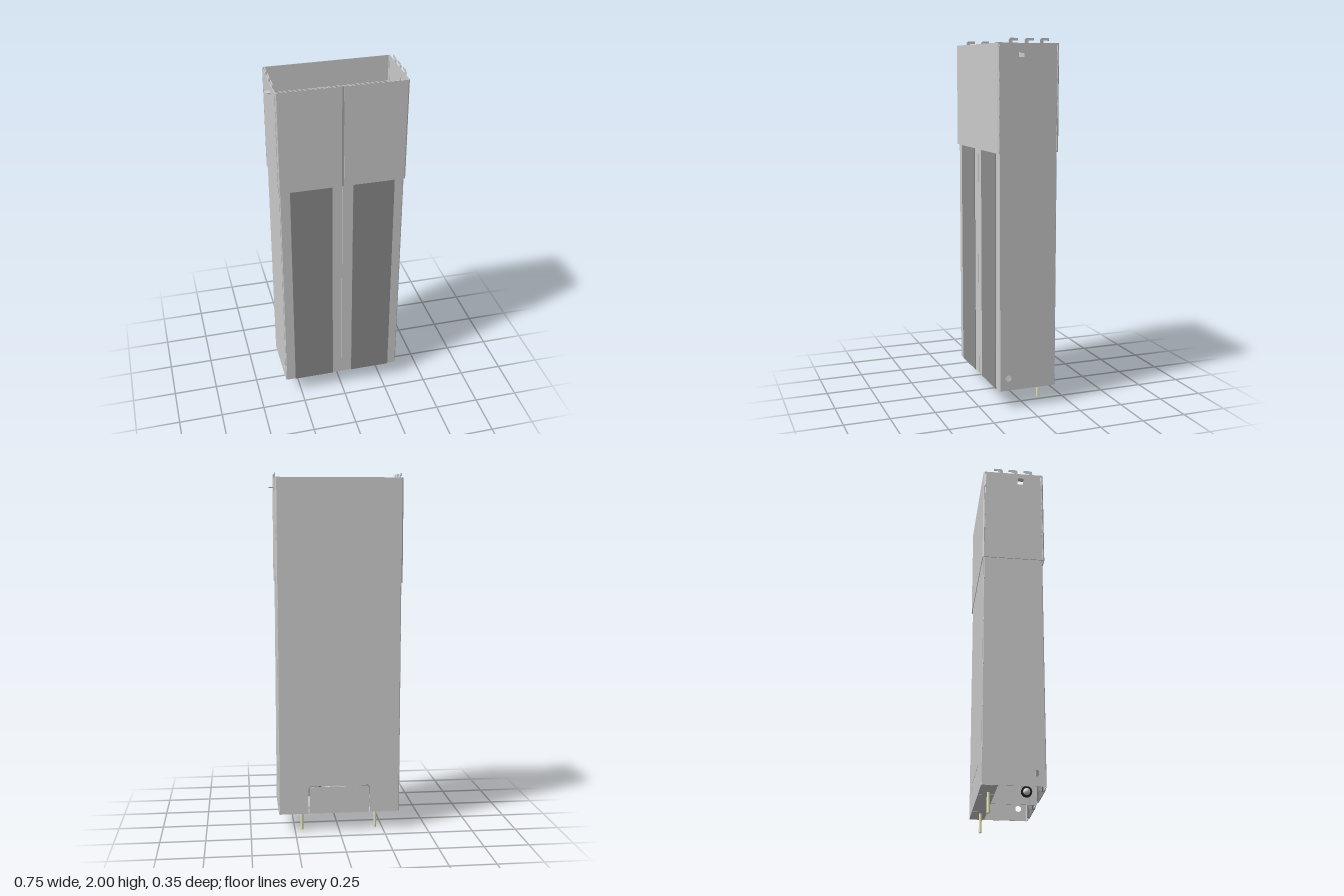
import * as THREE from 'three';

const mat = (color) => new THREE.MeshStandardMaterial({ color, flatShading: true });
const steel = mat(0xcccccc), dark = mat(0x8c8c8c), black = mat(0x151515), pale = mat(0xe6e6b8);

const BASE = 0.106, TOP = 1.83;            // inner body height range
const SLEEVE0 = 1.405, SLEEVE1 = 1.975;    // outer sleeve height range
const T = 0.004;                           // sheet thickness

export function createModel() {
  const root = new THREE.Group();

  const add = (name, geo, material = steel, x = 0, y = 0, z = 0) => {
    const m = new THREE.Mesh(geo, material);
    m.name = name;
    m.position.set(x, y, z);
    root.add(m);
    return m;
  };
  const box = (name, x0, x1, y0, y1, z0, z1, material) =>
    add(name, new THREE.BoxGeometry(x1 - x0, y1 - y0, z1 - z0), material,
      (x0 + x1) / 2, (y0 + y1) / 2, (z0 + z1) / 2);
  const shapeOf = (pts) => new THREE.Shape(pts.map(([a, b]) => new THREE.Vector2(a, b)));
  const extrude = (shape, depth) =>
    new THREE.ExtrudeGeometry(shape, { depth, bevelEnabled: false, curveSegments: 16 });

  // Folded sheet: an [x, z] centre line thickened and raised from y0 to y1
  const sheet = (name, line, y0, y1, material, t = 0.003) => {
    const p = line.map(([x, z]) => new THREE.Vector2(x, -z));
    const normal = (i) => {
      const d = p[i + 1].clone().sub(p[i]).normalize();
      return new THREE.Vector2(-d.y, d.x);
    };
    const side = (s) => p.map((q, i) => {
      const a = normal(Math.max(i - 1, 0)), b = normal(Math.min(i, p.length - 2));
      return q.clone().addScaledVector(a.clone().add(b), s / (1 + a.dot(b)));
    });
    const geo = extrude(new THREE.Shape([...side(t / 2), ...side(-t / 2).reverse()]), y1 - y0);
    add(name, geo.rotateX(-Math.PI / 2), material, 0, y0);
  };
  // Flat side plate drawn in (z, y); outer face at s * outer
  const sidePlate = (name, shape, s, outer) =>
    add(name, extrude(shape, T).rotateY(-Math.PI / 2), steel, s > 0 ? outer : -outer + T);

  const rect = (a, b, c, d) => shapeOf([[a, c], [b, c], [b, d], [a, d]]);

  // Body back wall with an inverted U slit around the lower tab
  const back = rect(-0.338, 0.338, BASE, TOP);
  const w = 0.17, g = 0.005, y0 = BASE + 0.002, yt = 0.265;
  back.holes.push(shapeOf([[-w - g, y0], [-w - g, yt - 0.012], [-w + 0.008, yt], [w - 0.008, yt],
    [w + g, yt - 0.012], [w + g, y0], [w, y0], [w, yt - 0.015], [w - 0.01, yt - g],
    [-w + 0.01, yt - g], [-w, yt - 0.015], [-w, y0]]));
  add('bodyBack', extrude(back, T), steel, 0, 0, -0.167);

  // Inward foot flange in three pieces
  for (const [a, b] of [[-0.337, -0.173], [-0.168, 0.17], [0.175, 0.337]])
    box('footFlange', a, b, BASE, BASE + T, -0.164, -0.083);

  for (const s of [1, -1]) {
    // Body side with round access hole
    const plate = rect(-0.163, 0.157, BASE, TOP);
    const hole = new THREE.Path();
    hole.absarc(0.11, 0.175, 0.017, 0, Math.PI * 2);
    plate.holes.push(hole);
    sidePlate('bodySide', plate, s, 0.342);

    // Folded corner of the body back
    sheet('bodyCorner', [[s * 0.34, -0.162], [s * 0.336, -0.1655]], BASE, TOP);

    // Sleeve side: hooks along the top edge, window and perforated corners
    const edge = [[-0.166, SLEEVE0], [0.166, SLEEVE0], [0.166, SLEEVE1]];
    for (const z of [0.11, 0.022, -0.063])
      edge.push([z, SLEEVE1], [z, 1.992], [z - 0.008, 2], [z - 0.05, 2],
        [z - 0.05, 1.987], [z - 0.02, 1.987], [z - 0.02, SLEEVE1]);
    edge.push([-0.166, SLEEVE1]);
    const sleeve = shapeOf(edge);
    sleeve.holes.push(rect(0.024, 0.056, 1.903, 1.925));
    for (let i = 0; i < 6; i++) {
      const y = SLEEVE0 + 0.012 + i * 0.094;
      for (const z of [-0.161, 0.161])
        sleeve.holes.push(rect(z - 0.0022, z + 0.0022, y, y + 0.078));
    }
    sidePlate('sleeveSide', sleeve, s, 0.348);

    // Tab bent outwards from the window
    const xs = [s * 0.345, s * 0.375].sort((a, b) => a - b);
    box('sleeveTab', xs[0], xs[1], 1.924, 1.928, 0.024, 0.056);

    // Threaded foot pin with nut
    const x = s * 0.21, z = -0.117;
    add('footPin', new THREE.CylinderGeometry(0.008, 0.008, 0.13, 10), pale, x, 0.065, z);
    add('footNut', new THREE.CylinderGeometry(0.015, 0.015, 0.012, 6), pale, x, BASE + 0.01, z);
  }

  // Body front edge strips and the two-part centre mullion
  sheet('frontEdge', [[-0.34, 0.155], [-0.336, 0.1595], [-0.26, 0.1595]], BASE, TOP);
  sheet('frontEdge', [[0.255, 0.1595], [0.336, 0.1595], [0.34, 0.155]], BASE, TOP);
  sheet('mullion', [[-0.09, 0.1595], [-0.001, 0.1595]], BASE, TOP);
  sheet('mullion', [[0.003, 0.128], [0.003, 0.1595], [0.08, 0.1595]], BASE, TOP);

  // Snap-in front covers with a spring clip and a square clip
  for (const x of [-0.285, 0.06]) {
    sheet('cover', [[x, 0.1632], [x + 0.23, 0.1632]], BASE, TOP, dark);
    sheet('coverSpringClip', [[x + 0.035, 0.135], [x + 0.02, 0.148], [x + 0.035, 0.162]],
      BASE, TOP, dark);
    sheet('coverClip', [[x + 0.194, 0.162], [x + 0.194, 0.152], [x + 0.21, 0.152],
      [x + 0.21, 0.157]], BASE, TOP, dark);
  }

  // Inner divider with its mounting flange
  sheet('divider', [[-0.09, -0.1615], [-0.001, -0.1615], [-0.001, 0.125]], BASE, TOP);

  // Earthing screw, axis along x
  const turned = (name, profile, material, x) =>
    add(name, new THREE.LatheGeometry(profile.map(([r, h]) => new THREE.Vector2(r, h)), 24)
      .rotateZ(-Math.PI / 2), material, x, 0.175, 0.108);
  turned('washer', [[0, -0.006], [0.03, -0.006], [0.03, 0.006], [0, 0.006]], black, -0.007);
  turned('screwHead', [[0, -0.016], [0.009, -0.014], [0.016, -0.008], [0.02, 0], [0, 0]],
    steel, -0.012);
  const thread = [[0, 0]];
  for (let i = 0; i <= 20; i++) thread.push([i % 2 ? 0.007 : 0.009, i * 0.0026]);
  thread.push([0, 0.052]);
  turned('screwThread', thread, steel, 0.001);

  // Outer sleeve: one-piece back, front halves overlapping at the centre
  sheet('sleeveBack', [[-0.3465, -0.166], [-0.34, -0.1725], [0.34, -0.1725], [0.3465, -0.166]],
    SLEEVE0, SLEEVE1);
  sheet('sleeveFront', [[-0.3465, 0.164], [-0.34, 0.1705], [-0.006, 0.1705], [0.006, 0.1665],
    [0.05, 0.1665]], SLEEVE0, SLEEVE1);
  sheet('sleeveFront', [[0.007, 0.1705], [0.34, 0.1705], [0.3465, 0.164]], SLEEVE0, SLEEVE1);

  return root;
}
